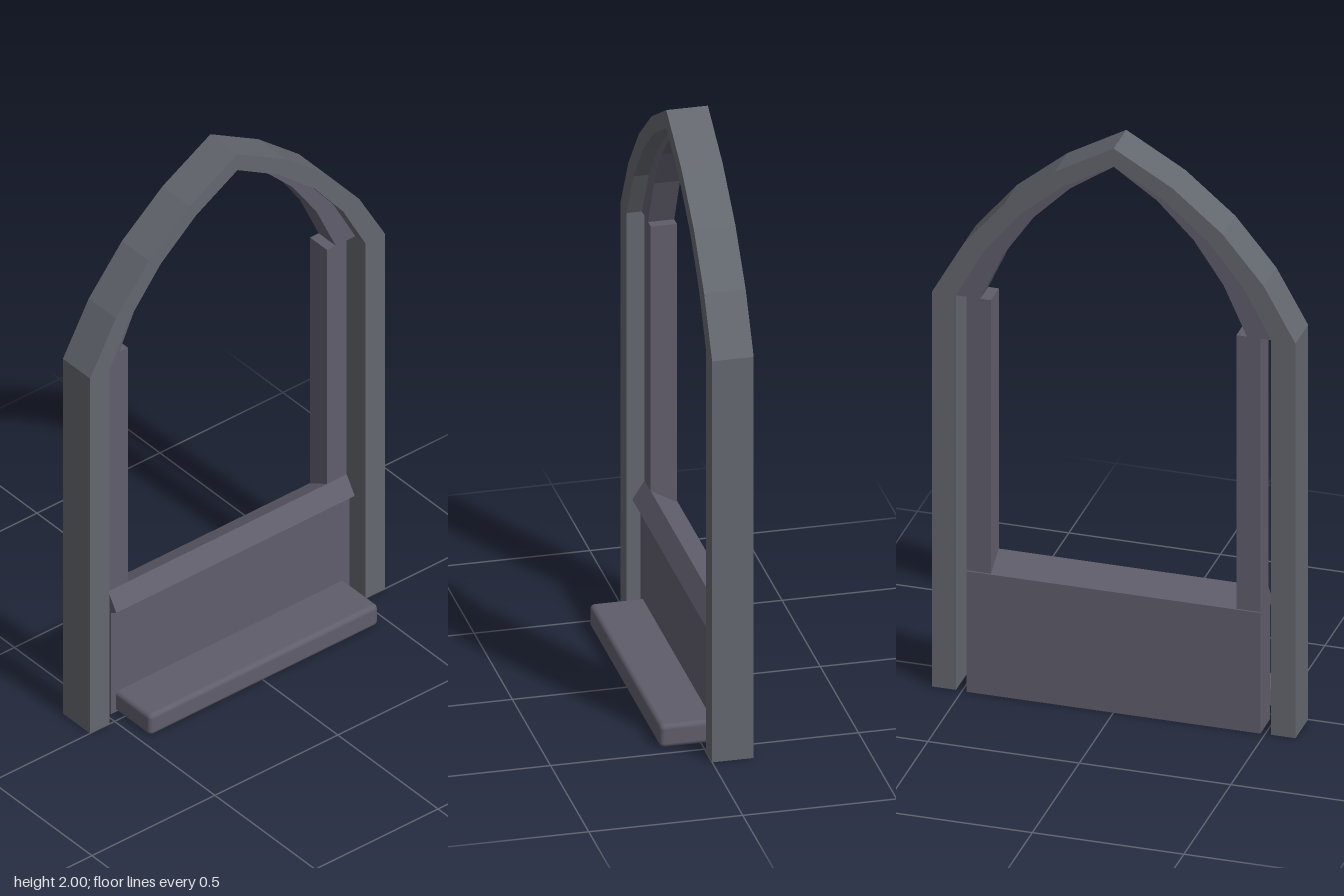
import * as THREE from 'three';
import { RoundedBoxGeometry } from 'three/addons/geometries/RoundedBoxGeometry.js';

const SPRING = 1.4;   // height where the arch begins
const BACK = -0.135;  // back plane of the frame

// Half of a pointed arch, from the springing (x = half) to the apex
function archHalf(half, apex, controlY) {
  return new THREE.QuadraticBezierCurve(
    new THREE.Vector2(half, SPRING),
    new THREE.Vector2(half * 0.7, controlY),
    new THREE.Vector2(0, apex)
  ).getPoints(4);
}

// Closed band between two half arches, mirrored, with legs down to y = foot
function archBand(outer, inner, foot) {
  const side = (pts) => (foot < SPRING ? [new THREE.Vector2(pts[0].x, foot), ...pts] : pts);
  const full = (pts) => {
    const right = side(pts);
    const left = right.slice(0, -1).reverse().map((p) => new THREE.Vector2(-p.x, p.y));
    return [...right, ...left];
  };
  return new THREE.Shape([...full(outer), ...full(inner).reverse()]);
}

function extrudeZ(shape, back, front) {
  const geo = new THREE.ExtrudeGeometry(shape, { depth: front - back, bevelEnabled: false });
  return geo.translate(0, 0, back);
}

export function createModel() {
  const model = new THREE.Group();
  model.name = 'archedWindowFrame';
  const outerMat = new THREE.MeshStandardMaterial({ color: 0x63676e, flatShading: true });
  const innerMat = new THREE.MeshStandardMaterial({ color: 0x605d6b, flatShading: true });
  const smoothMat = new THREE.MeshStandardMaterial({ color: 0x605d6b });

  const add = (name, geo, mat) => {
    const mesh = new THREE.Mesh(geo, mat);
    mesh.name = name;
    model.add(mesh);
    return mesh;
  };

  // Outer frame: two posts and the pointed arch
  const outer = archHalf(0.6, 2, 1.8);
  const middle = archHalf(0.52, 1.937, 1.764);
  const inner = archHalf(0.44, 1.935, 1.764);
  add('outerFrame', extrudeZ(archBand(outer, middle, 0), BACK, 0), outerMat);

  // Recessed rib under the arch, tapering to the apex
  add('innerArch', extrudeZ(archBand(middle, inner, SPRING), BACK, -0.05), innerMat);

  // Inner jambs, separated from the posts by a narrow gap
  for (const [name, s] of [['leftJamb', 1], ['rightJamb', -1]]) {
    const jamb = add(name, new THREE.BoxGeometry(0.08, 1, 0.085), innerMat);
    jamb.position.set(s * 0.445, 0.9, BACK + 0.0425);
  }

  // Lower panel with its tilted cap: a (z, y) section swept along x
  const section = new THREE.Shape([
    [-0.036, 0], [-0.036, 0.4], [-0.01, 0.415], [-0.05, 0.477], [-0.138, 0.428], [-0.138, 0],
  ].map(([z, y]) => new THREE.Vector2(-z, y)));
  const panel = new THREE.ExtrudeGeometry(section, { depth: 0.97, bevelEnabled: false });
  panel.translate(0, 0, -0.485).rotateY(Math.PI / 2);
  add('lowerPanel', panel, innerMat);

  // Rounded step at the foot of the panel
  const step = add('footStep', new RoundedBoxGeometry(0.93, 0.08, 0.2, 3, 0.016), smoothMat);
  step.position.set(0, 0.04, 0.035);

  return model;
}
